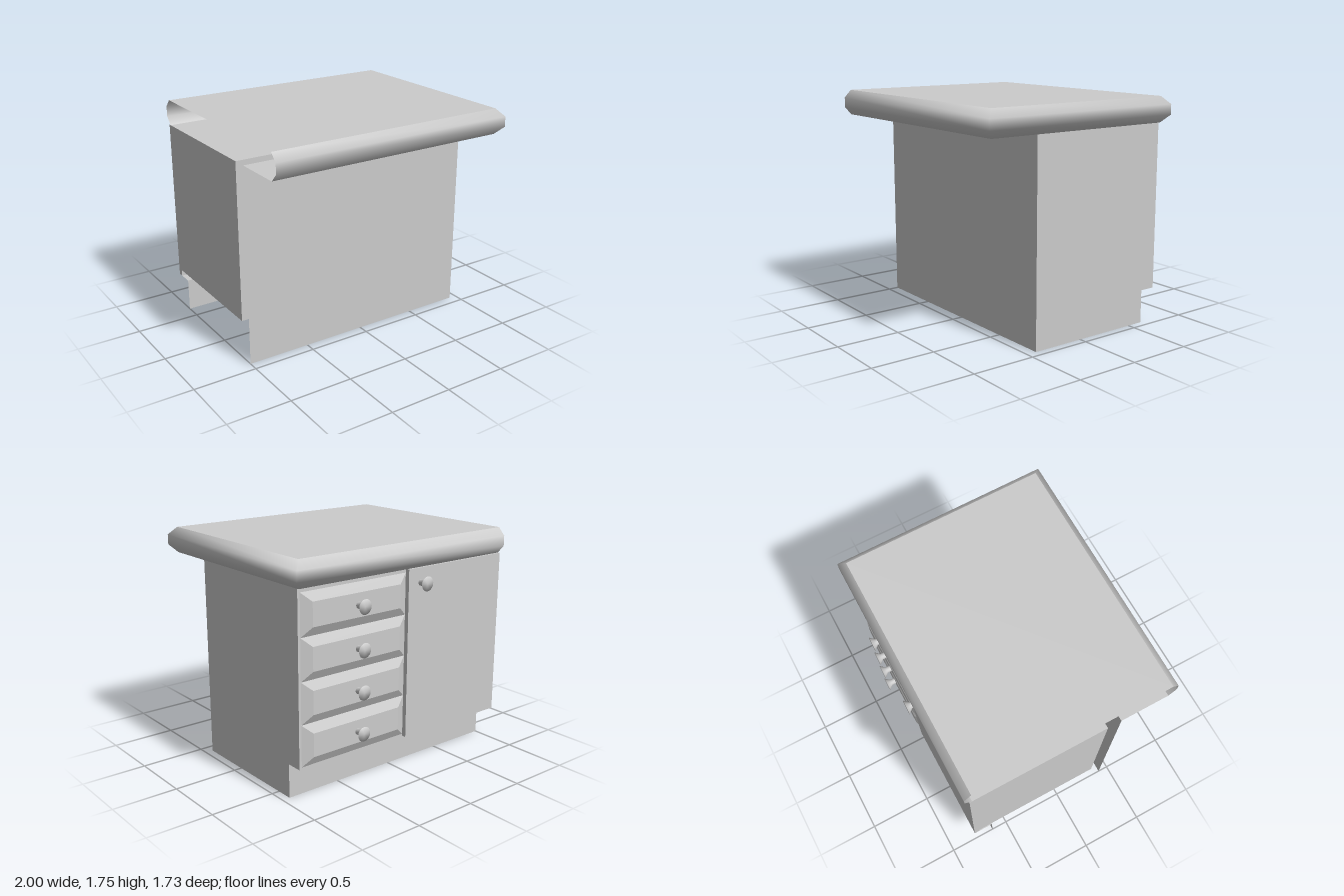
import * as THREE from 'three';

const mat = new THREE.MeshStandardMaterial({ color: 0xcccccc });
const thin = new THREE.MeshStandardMaterial({ color: 0xcccccc, side: THREE.DoubleSide });

function add(parent, name, geometry, material = mat) {
  const mesh = new THREE.Mesh(geometry, material);
  mesh.name = name;
  parent.add(mesh);
  return mesh;
}

// Box given by its limits on each axis
function block(x0, x1, y0, y1, z0, z1) {
  return new THREE.BoxGeometry(x1 - x0, y1 - y0, z1 - z0)
    .translate((x0 + x1) / 2, (y0 + y1) / 2, (z0 + z1) / 2);
}

// Upright sheet facing +z or, when turned, -z
function sheet(x0, x1, y0, y1, z, turned) {
  const g = new THREE.PlaneGeometry(x1 - x0, y1 - y0);
  if (turned) g.rotateY(Math.PI);
  return g.translate((x0 + x1) / 2, (y0 + y1) / 2, z);
}

// Smooth bevelled rim swept round three sides, open at the -x end
function rimGeometry(x0, x1, zBack, zFront) {
  const path = [[x0, zBack, 0, -1], [x1, zBack, 1, -1], [x1, zFront, 1, 1], [x0, zFront, 0, 1]];
  const profile = [[0, 1.555], [0.056, 1.615], [0.056, 1.695], [0, 1.755]];
  const pos = [], index = [], n = profile.length;
  for (const [x, z, dx, dz] of path)
    for (const [d, y] of profile) pos.push(x + dx * d, y, z + dz * d);
  for (let i = 0; i < path.length - 1; i++)
    for (let j = 0; j < n - 1; j++) {
      const a = i * n + j, b = a + n;
      index.push(a, b + 1, b, a, a + 1, b + 1);
    }
  const g = new THREE.BufferGeometry();
  g.setAttribute('position', new THREE.Float32BufferAttribute(pos, 3));
  g.setIndex(index);
  g.computeVertexNormals();
  return g;
}

// Drawer front whose outer (-z) face is smaller than its base
function drawerGeometry(w, h, depth, bevelX, bevelY) {
  const g = new THREE.BoxGeometry(w, h, depth);
  const p = g.attributes.position;
  for (let i = 0; i < p.count; i++) {
    if (p.getZ(i) > 0) continue;
    p.setX(i, p.getX(i) - Math.sign(p.getX(i)) * bevelX);
    p.setY(i, p.getY(i) - Math.sign(p.getY(i)) * bevelY);
  }
  g.computeVertexNormals();
  return g;
}

const knobProfile = [[0.025, 0], [0.025, 0.035], [0.056, 0.07], [0, 0.07]]
  .map(([r, y]) => new THREE.Vector2(r, y));
const knobGeometry = new THREE.LatheGeometry(knobProfile, 16).rotateX(-Math.PI / 2);

export function createModel() {
  const group = new THREE.Group();
  group.name = 'counterCabinet';
  const left = -1, right = 0.94, top = 1.555, front = 0.42, kickZ = -0.63, kickY = 0.26;

  // Worktop: flat top, bevelled rim, underside of the front overhang
  const worktop = new THREE.Group();
  worktop.name = 'worktop';
  group.add(worktop);
  add(worktop, 'worktopRim', rimGeometry(left, right, -0.77, 0.81), thin);
  add(worktop, 'worktopSurface', new THREE.PlaneGeometry(1.94, 1.58)
    .rotateX(-Math.PI / 2).translate(-0.03, 1.755, 0.02), thin);
  add(worktop, 'worktopOverhang', new THREE.PlaneGeometry(1.94, 0.39)
    .rotateX(Math.PI / 2).translate(-0.03, top, 0.615), thin);

  // Carcass
  add(group, 'cabinetBody', block(left, right - 0.005, 0.31, top, -0.745, 0.31));
  add(group, 'frontPanel', sheet(left, right, 0, top, front), thin);
  add(group, 'kickBoard', sheet(left, right, 0, kickY, kickZ, true), thin);
  add(group, 'cabinetUnderside', new THREE.PlaneGeometry(1.94, 0.115)
    .rotateX(Math.PI / 2).translate(-0.03, kickY, -0.6875), thin);

  // Side panel with a notch for the kick space
  const side = new THREE.Shape([[-front, 0], [-kickZ, 0], [-kickZ, kickY], [0.745, kickY],
    [0.745, top], [-front, top]].map(([x, y]) => new THREE.Vector2(x, y)));
  add(group, 'sidePanel', new THREE.ShapeGeometry(side)
    .rotateY(Math.PI / 2).translate(right, 0, 0), thin);

  // Door and drawers on the working side
  add(group, 'door', block(left, -0.03, kickY, top, -0.79, -0.745));
  add(group, 'drawerFrame', block(-0.03, right, kickY, top, -0.755, -0.745));
  const drawer = drawerGeometry(0.95, 0.313, 0.035, 0.08, 0.068);
  for (let i = 0; i < 4; i++) {
    const y = 0.432 + i * 0.313;
    add(group, 'drawerFront', drawer).position.set(0.445, y, -0.7725);
    add(group, 'drawerKnob', knobGeometry, thin).position.set(0.44, y, -0.79);
  }
  add(group, 'doorKnob', knobGeometry, thin).position.set(-0.15, 1.445, -0.79);

  return group;
}
